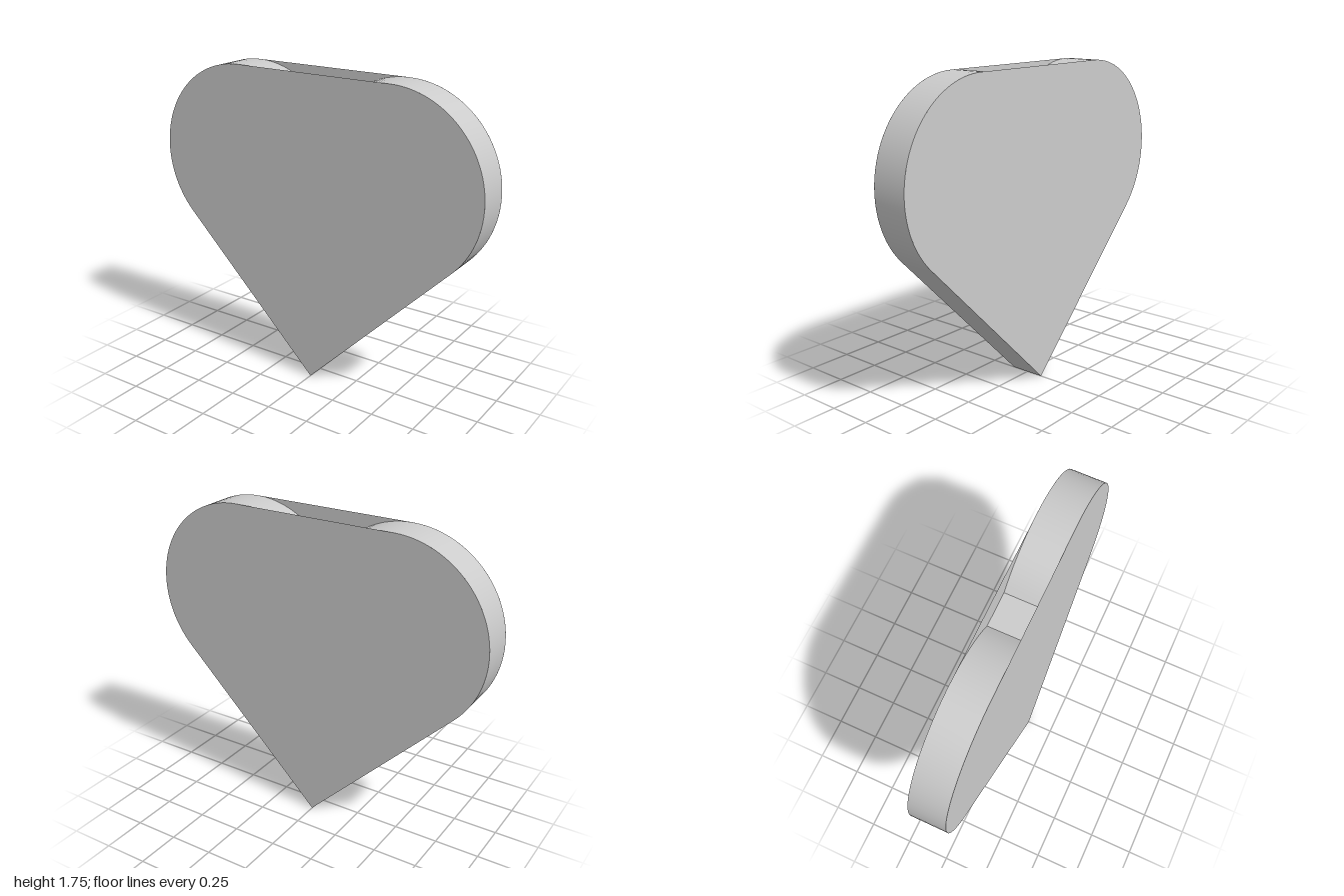
import * as THREE from 'three';

export function createModel() {
  const model = new THREE.Group();
  const material = new THREE.MeshStandardMaterial({ color: 0xcccccc, side: THREE.DoubleSide });

  const r = 0.53, cx = 1 - r, cy = cx + Math.SQRT2 * r; // lobe circles, tangent to the 45 degree sides
  const half = 0.1;
  const steps = 40;

  // points along a lobe arc, angles in degrees
  const arc = (x, from, to) => Array.from({ length: steps + 1 }, (_, i) => {
    const a = THREE.MathUtils.degToRad(from + (to - from) * i / steps);
    return new THREE.Vector2(x + r * Math.cos(a), cy + r * Math.sin(a));
  });

  // a smooth strip of wall through the depth, following a path
  function addWall(name, points) {
    const curve = points.length === 2
      ? new THREE.LineCurve(points[0], points[1])
      : new THREE.SplineCurve(points);
    const n = points.length - 1;
    const geometry = new THREE.PlaneGeometry(1, 1, n, 1);
    const pos = geometry.attributes.position;
    for (let i = 0; i < pos.count; i++) {
      const p = curve.getPoint(pos.getX(i) + 0.5);
      pos.setXYZ(i, p.x, p.y, pos.getY(i) > 0 ? -half : half);
    }
    geometry.computeVertexNormals();
    const mesh = new THREE.Mesh(geometry, material);
    mesh.name = name;
    model.add(mesh);
  }

  // rim: straight sides, two round lobes and the recessed floor between them
  const tip = new THREE.Vector2(0, 0);
  const rightLobe = arc(-cx, 225, 45);
  const leftLobe = arc(cx, 135, -45);
  addWall('rightSide', [tip, rightLobe[0]]);
  addWall('rightLobe', rightLobe);
  addWall('notchFloor', [rightLobe[steps], leftLobe[0]]);
  addWall('leftLobe', leftLobe);
  addWall('leftSide', [leftLobe[steps], tip]);

  // front and back plates, straight across the top so they close off the notch
  const outline = new THREE.Shape([tip, ...arc(cx, -45, 90), ...arc(-cx, 90, 225)]);
  for (const [name, z, turn] of [['frontPlate', half, 0], ['backPlate', -half, Math.PI]]) {
    const plate = new THREE.Mesh(new THREE.ShapeGeometry(outline), material);
    plate.name = name;
    plate.position.z = z;
    plate.rotation.y = turn;
    model.add(plate);
  }
  return model;
}
